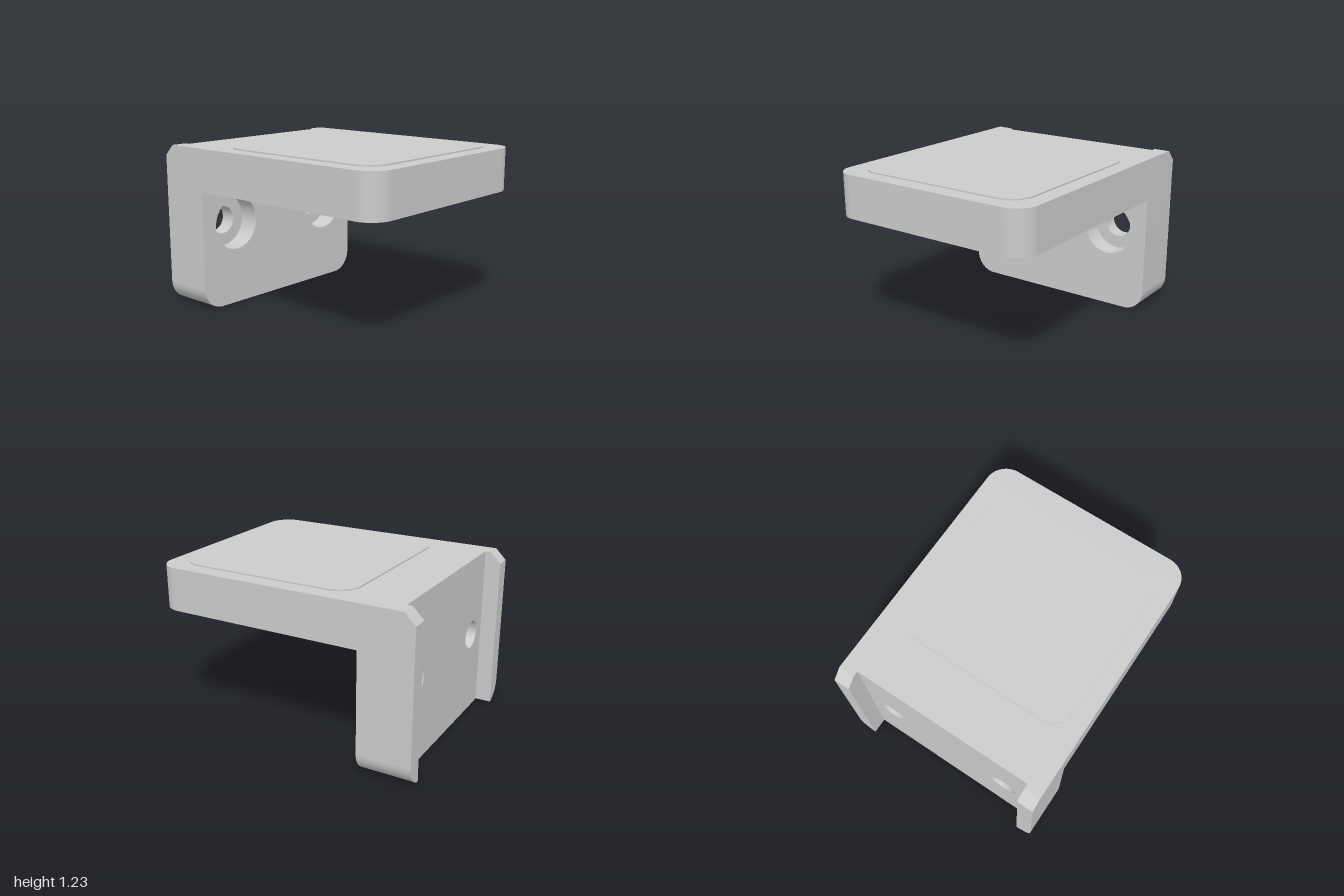
import * as THREE from 'three';
import { toCreasedNormals } from 'three/addons/utils/BufferGeometryUtils.js';

const W = 0.8, R = 0.16, TOP = 1.215, UNDER = 0.9;
const BACK = -0.88, WALL_FRONT = -0.6, RAIL_BACK = -1, RAIL_IN = 0.68;
const HOLE = { x: 0.48, y: 0.62, bore: 0.106, counter: 0.2, ledge: -0.76 };

const material = new THREE.MeshStandardMaterial({ color: 0xcccccc });

function addMesh(group, name, geometry) {
  const mesh = new THREE.Mesh(toCreasedNormals(geometry, 0.5), material);
  mesh.name = name;
  group.add(mesh);
  return mesh;
}

// Rectangle with separate radii for its low and high ends
function roundedRect(x0, y0, x1, y1, rLow, rHigh) {
  const s = new THREE.Shape();
  s.moveTo(x0 + rLow, y0);
  s.lineTo(x1 - rLow, y0);
  if (rLow) s.absarc(x1 - rLow, y0 + rLow, rLow, -Math.PI / 2, 0);
  s.lineTo(x1, y1 - rHigh);
  if (rHigh) s.absarc(x1 - rHigh, y1 - rHigh, rHigh, 0, Math.PI / 2);
  s.lineTo(x0 + rHigh, y1);
  if (rHigh) s.absarc(x0 + rHigh, y1 - rHigh, rHigh, Math.PI / 2, Math.PI);
  s.lineTo(x0, y0 + rLow);
  if (rLow) s.absarc(x0 + rLow, y0 + rLow, rLow, Math.PI, Math.PI * 1.5);
  return s;
}

function extrude(shape, depth, steps = 1) {
  return new THREE.ExtrudeGeometry(shape, { depth, steps, bevelEnabled: false, curveSegments: 24 });
}

// Horizontal slab from an outline drawn in x and z
function slab(shape, y0, y1) {
  return extrude(shape, y1 - y0).rotateX(Math.PI / 2).translate(0, y1, 0);
}

// Side rail that follows the rounded lower corner, chamfered at its top rear edge
function railGeometry(side) {
  const pts = [];
  const start = -Math.acos((RAIL_IN - (W - R)) / R);
  for (let i = 0; i <= 16; i++) {
    const a = start * (1 - i / 16);
    pts.push(new THREE.Vector2(side * (W - R + R * Math.cos(a)), R + R * Math.sin(a)));
  }
  pts.push(new THREE.Vector2(side * W, TOP), new THREE.Vector2(side * RAIL_IN, TOP));
  const g = extrude(new THREE.Shape(pts), BACK - RAIL_BACK, 3).translate(0, 0, RAIL_BACK);
  const p = g.attributes.position;
  for (let i = 0; i < p.count; i++) {
    p.setY(i, Math.min(p.getY(i), TOP - 0.08 + p.getZ(i) - RAIL_BACK));
  }
  return g;
}

export function createModel() {
  const group = new THREE.Group();
  group.name = 'bracket';

  // Top plate with rounded front corners, and a thin raised pad on each face
  addMesh(group, 'topPlate', slab(roundedRect(-W, BACK, W, 1, 0, R), UNDER, TOP));
  const pad = roundedRect(-0.68, -0.48, 0.68, 0.88, R, R);
  addMesh(group, 'upperPad', slab(pad, TOP, TOP + 0.01));
  addMesh(group, 'lowerPad', slab(pad, UNDER - 0.01, UNDER));

  // Back wall with rounded lower corners and two counterbores
  const wall = roundedRect(-W, 0, W, UNDER, R, 0);
  for (const side of [-1, 1]) {
    const hole = new THREE.Path();
    hole.absarc(side * HOLE.x, HOLE.y, HOLE.counter, 0, Math.PI * 2, true);
    wall.holes.push(hole);
  }
  addMesh(group, 'backWall', extrude(wall, WALL_FRONT - BACK).translate(0, 0, BACK));

  for (const side of [-1, 1]) {
    const label = side > 0 ? 'left' : 'right';

    // Ledge and through hole at the bottom of each counterbore
    const profile = [
      [HOLE.counter, HOLE.ledge], [HOLE.bore, HOLE.ledge],
      [HOLE.bore, BACK], [HOLE.counter, BACK],
    ].map(([r, z]) => new THREE.Vector2(r, z));
    const seat = new THREE.LatheGeometry(profile, 48).rotateX(Math.PI / 2);
    addMesh(group, label + 'ScrewSeat', seat.translate(side * HOLE.x, HOLE.y, 0));

    addMesh(group, label + 'Rail', railGeometry(side));
  }
  return group;
}
